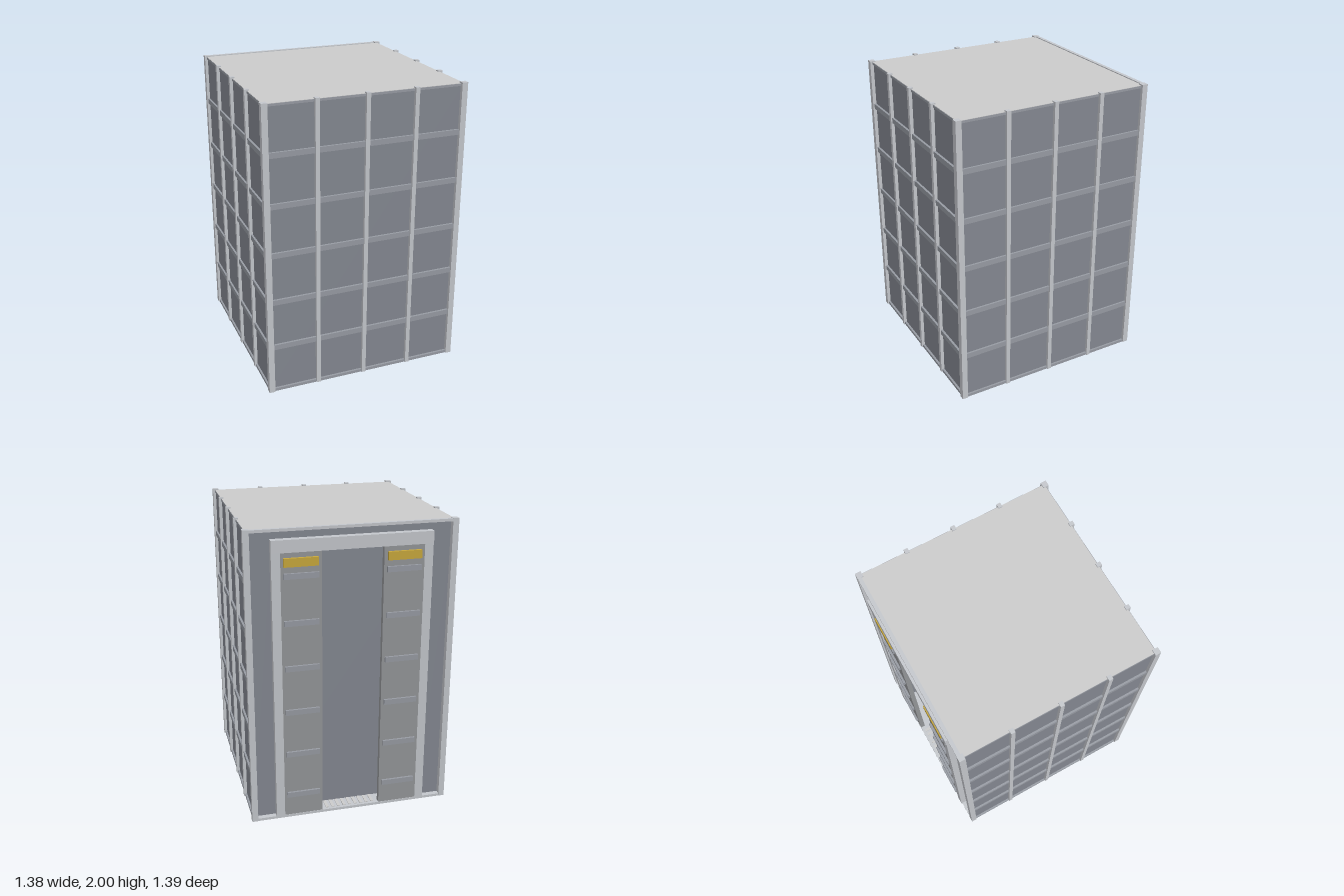
import * as THREE from 'three';

export function createModel() {
  const model = new THREE.Group();
  const mat = (color) => new THREE.MeshStandardMaterial({ color, flatShading: true });
  const panelMat = mat(0x848891);
  const ribMat = mat(0x979ba3);
  const postMat = mat(0xc4c7cc);
  const doorMat = mat(0x949699);
  const yellowMat = mat(0xc8a83c);
  const grey = mat(0xcccccc);

  // Box given by its lower and upper limits on each axis
  const block = (name, material, [x0, x1], [y0, y1], [z0, z1], parent = model) => {
    const mesh = new THREE.Mesh(new THREE.BoxGeometry(x1 - x0, y1 - y0, z1 - z0), material);
    mesh.position.set((x0 + x1) / 2, (y0 + y1) / 2, (z0 + z1) / 2);
    mesh.name = name;
    parent.add(mesh);
    return mesh;
  };

  // Main body, floor and roof
  block('body', panelMat, [-0.667, 0.667], [0.012, 1.98], [-0.57, 0.668]);
  block('floor', grey, [-0.675, 0.675], [0, 0.012], [-0.66, 0.675]);
  block('roof', grey, [-0.67, 0.67], [1.975, 1.992], [-0.66, 0.672]);

  // Corner posts
  for (const s of [-1, 1]) {
    const x = s > 0 ? [0.647, 0.687] : [-0.687, -0.647];
    block('cornerPost', postMat, x, [0, 2], [0.653, 0.692]);
    block('cornerPost', postMat, x, [0, 2], [-0.682, -0.642]);
  }

  // Ribbed wall in its own frame: panel faces +z at z = 0
  const ribHeights = [0.338, 0.671, 1.004, 1.338, 1.671];
  const ribbedWall = (name, half) => {
    const wall = new THREE.Group();
    wall.name = name;
    for (const u of [-0.334, 0, 0.334]) {
      block('mullion', postMat, [u - 0.014, u + 0.014], [0, 2], [-0.01, 0.022], wall);
    }
    for (const y of ribHeights) {
      block('crossRib', ribMat, [-half, half], [y - 0.018, y + 0.018], [-0.01, 0.014], wall);
    }
    block('bottomRail', ribMat, [-half, half], [0, 0.02], [-0.01, 0.014], wall);
    block('topRail', ribMat, [-half, half], [1.975, 1.99], [-0.01, 0.006], wall);
    model.add(wall);
    return wall;
  };
  ribbedWall('frontWall', 0.65).position.z = 0.669;
  for (const s of [-1, 1]) {
    const side = ribbedWall(s > 0 ? 'leftWall' : 'rightWall', 0.65);
    side.rotation.y = (s * Math.PI) / 2;
    side.position.set(s * 0.666, 0, 0.006);
    block('sideWallEnd', panelMat, s > 0 ? [0.5, 0.667] : [-0.667, -0.5], [0.012, 1.98], [-0.645, -0.56]);
  }

  // Back wall around the doorway
  block('backWallTop', panelMat, [-0.51, 0.51], [1.85, 1.98], [-0.645, -0.56]);
  block('backTopRail', postMat, [-0.65, 0.65], [1.98, 1.998], [-0.68, -0.655]);
  block('backBottomRail', postMat, [-0.65, 0.65], [0, 0.018], [-0.68, -0.56]);

  // Door frame
  block('doorHeader', postMat, [-0.52, 0.52], [1.85, 1.93], [-0.693, -0.64]);
  for (const s of [-1, 1]) {
    const span = (a, b) => (s > 0 ? [a, b] : [-b, -a]);
    block('doorJamb', postMat, span(0.463, 0.52), [0.015, 1.85], [-0.688, -0.64]);

    // Half-open sliding door leaf with grip bars and a warning plate
    block('doorLeaf', doorMat, span(0.2, 0.465), [0.018, 1.85], [-0.678, -0.645]);
    for (let i = 0; i < 6; i++) {
      const y = 0.175 + i * 0.305;
      block('doorBar', ribMat, span(0.22, 0.445), [y - 0.018, y + 0.018], [-0.693, -0.67]);
    }
    block('warningPlate', yellowMat, span(0.224, 0.444), [1.76, 1.815], [-0.697, -0.67]);
  }

  // Tread strips on the threshold
  for (let i = 0; i < 9; i++) {
    const x = -0.16 + i * 0.04;
    block('thresholdTread', grey, [x - 0.01, x + 0.01], [0.016, 0.023], [-0.66, -0.575]);
  }
  return model;
}
